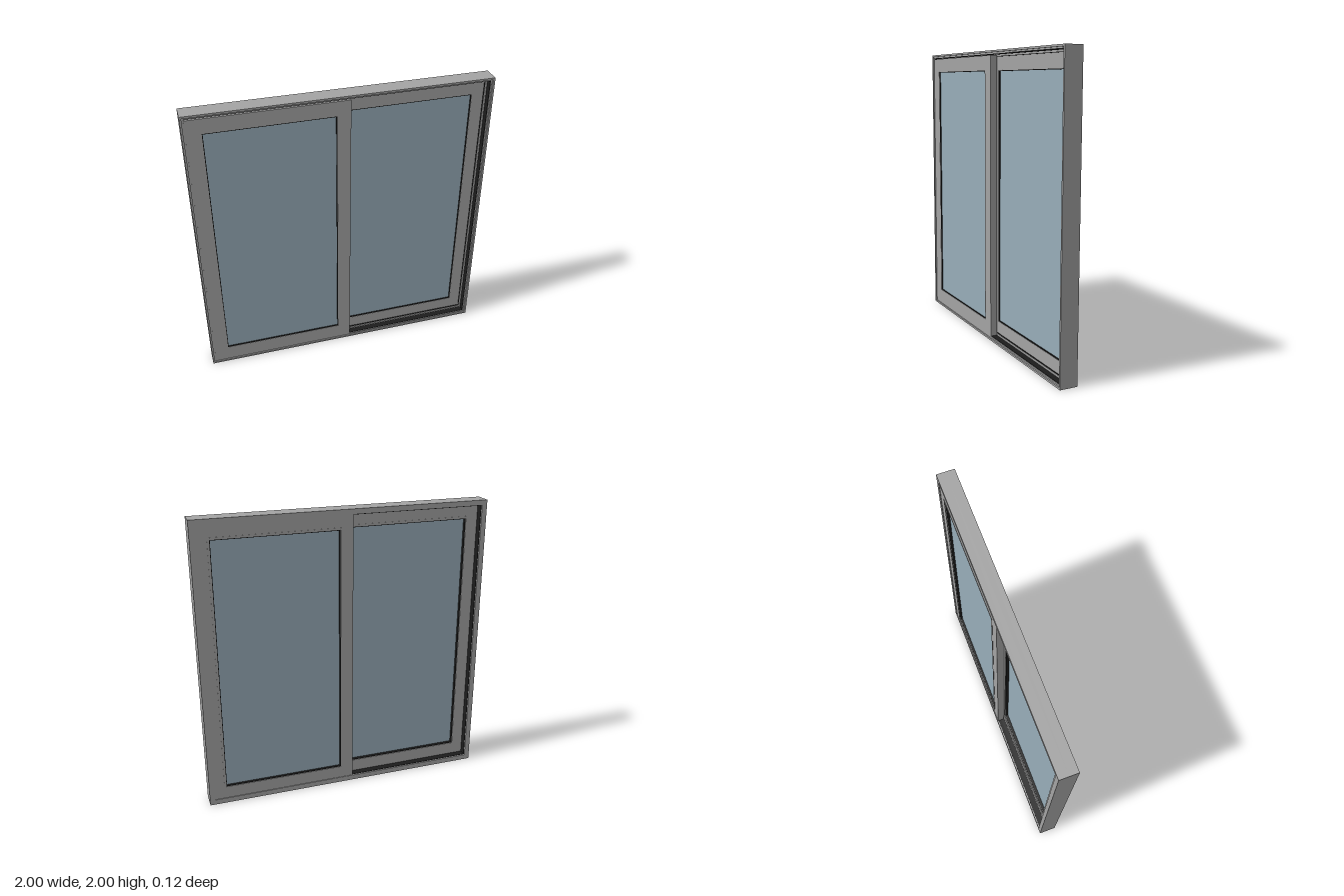
import * as THREE from 'three';

const frameMat = new THREE.MeshStandardMaterial({ color: 0xa4a4a4 });
const glassMat = new THREE.MeshStandardMaterial({ color: 0x98adb9 });
const sealMat = new THREE.MeshStandardMaterial({ color: 0x1c1c1c });

// Rectangle given by its edges: left, right, bottom, top
const trace = (path, [l, r, b, t]) =>
  path.moveTo(l, b).lineTo(r, b).lineTo(r, t).lineTo(l, t).closePath();
const shrink = ([l, r, b, t], d) => [l + d, r - d, b + d, t - d];

// Rectangular ring extruded from z0 to z1
function ring(name, outer, inner, z0, z1, material = frameMat) {
  const shape = trace(new THREE.Shape(), outer);
  shape.holes.push(trace(new THREE.Path(), inner));
  const geo = new THREE.ExtrudeGeometry(shape, { depth: z1 - z0, bevelEnabled: false });
  geo.translate(0, 0, z0);
  const mesh = new THREE.Mesh(geo, material);
  mesh.name = name;
  return mesh;
}

// Sliding sash: frame, dark glazing seal, rear bead and a pane near the front face
function sash(name, outer, opening, z0, z1) {
  const group = new THREE.Group();
  group.name = name;
  const [l, r, b, t] = opening;
  const pane = new THREE.Mesh(new THREE.BoxGeometry(r - l, t - b, 0.015), glassMat);
  pane.name = 'glassPane';
  pane.position.set((l + r) / 2, (b + t) / 2, z1 - 0.0175);
  group.add(
    ring('sashFrame', outer, opening, z0, z1),
    ring('glazingSeal', opening, shrink(opening, 0.005), z0 + 0.003, z1 - 0.002, sealMat),
    ring('glazingBead', shrink(opening, -0.014), opening, z0 - 0.002, z0 + 0.002),
    pane,
  );
  return group;
}

export function createModel() {
  const model = new THREE.Group();
  model.name = 'slidingWindow';

  // Outer frame, stepped in depth: front lip, front track, back track
  const outer = [-1, 1, 0, 2];
  const frame = new THREE.Group();
  frame.name = 'outerFrame';
  [
    ['frontLip', 0.013, 0.05, 0.06],
    ['frontTrack', 0.023, 0, 0.05],
    ['backTrack', 0.036, -0.06, 0],
  ].forEach(([name, width, z0, z1]) => frame.add(ring(name, outer, shrink(outer, width), z0, z1)));

  // Dark weather strips lining the two tracks
  [
    ['frontTrackSeal', 0.023, 0.005, 0.046],
    ['backTrackSeal', 0.036, -0.05, -0.003],
  ].forEach(([name, d, z0, z1]) =>
    frame.add(ring(name, shrink(outer, d), shrink(outer, d + 0.003), z0, z1, sealMat)));
  model.add(frame);

  // Front sash on the right, back sash on the left, overlapping at the middle
  model.add(
    sash('frontSash', [-0.977, 0.043, 0.024, 1.969], [-0.88, -0.047, 0.125, 1.87], 0.003, 0.052),
    sash('backSash', [-0.047, 0.966, 0.036, 1.964], [0.04, 0.88, 0.125, 1.87], -0.055, -0.01),
  );
  return model;
}
